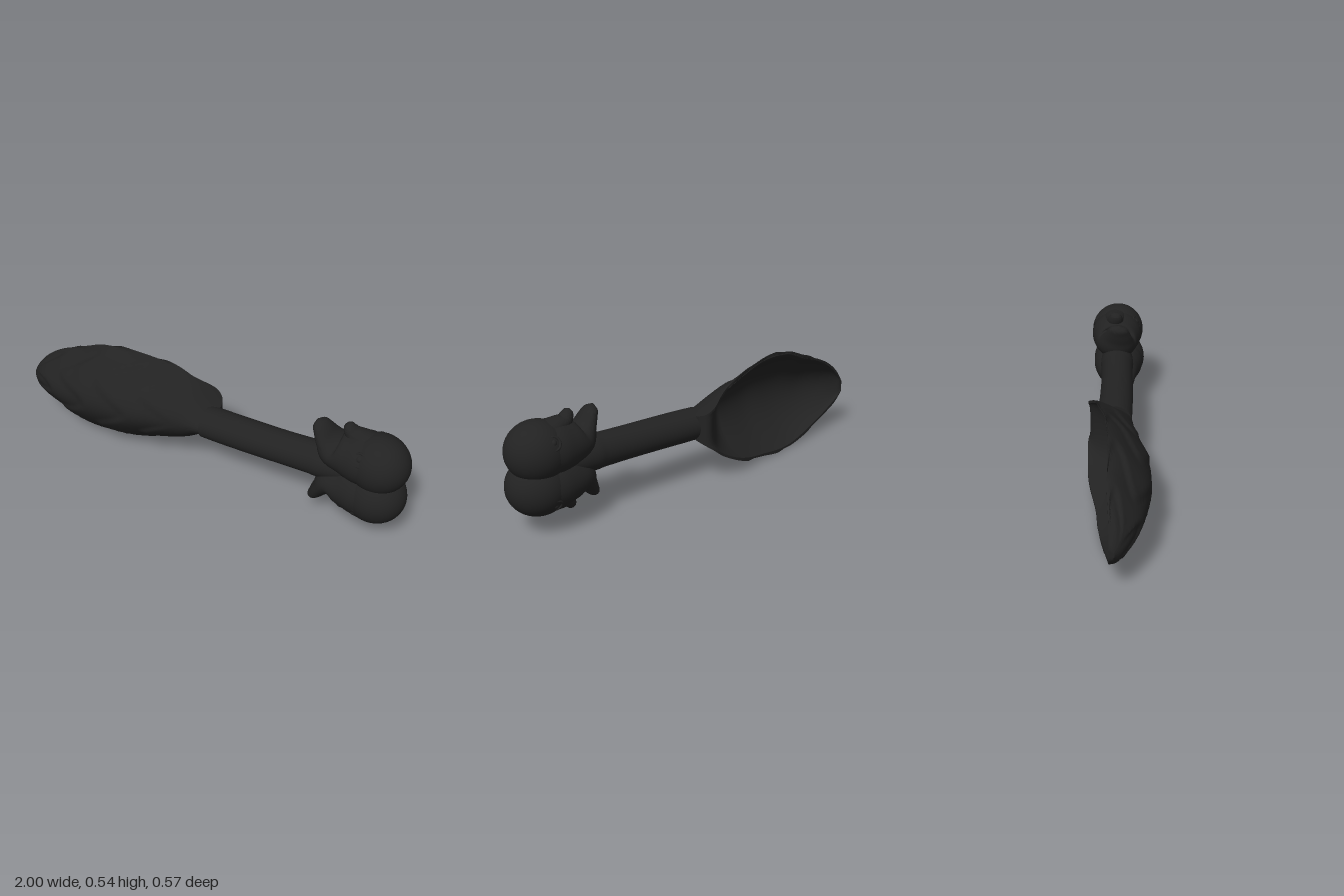
import * as THREE from 'three';
import { toCreasedNormals } from 'three/addons/utils/BufferGeometryUtils.js';

const { smoothstep, lerp } = THREE.MathUtils;
const black = new THREE.MeshStandardMaterial({ color: 0x222222 });
black.name = 'black';

// Skin closed rings of points, cap both ends and face everything outwards.
function loft(rings, crease) {
  const n = rings[0].length, pts = rings.flat(), idx = [];
  for (let i = 0; i < rings.length - 1; i++)
    for (let j = 0; j < n; j++) {
      const a = i * n + j, b = i * n + (j + 1) % n;
      idx.push(a, b, a + n, b, b + n, a + n);
    }
  // caps are zipped across so that concave rings also close cleanly
  const last = (rings.length - 1) * n;
  for (let j = 0; j < n / 2 - 1; j++) {
    const a = j, b = j + 1, c = n - 1 - j, d = n - 2 - j;
    idx.push(a, c, b, b, c, d);
    idx.push(last + a, last + b, last + c, last + b, last + d, last + c);
  }
  let volume = 0;
  const v = new THREE.Vector3();
  for (let i = 0; i < idx.length; i += 3)
    volume += pts[idx[i]].dot(v.crossVectors(pts[idx[i + 1]], pts[idx[i + 2]]));
  if (volume < 0) idx.reverse();
  const g = new THREE.BufferGeometry().setFromPoints(pts);
  g.setIndex(idx);
  return toCreasedNormals(g, crease);
}

// Round limb: each station is [x, y, z, radius in the x-y plane, radius in z].
function limb(stations, steps = 32, sides = 32) {
  const path = new THREE.CatmullRomCurve3(stations.map(s => new THREE.Vector3(s[0], s[1], s[2])));
  const size = new THREE.CatmullRomCurve3(stations.map(s => new THREE.Vector3(s[3], s[4], 0)));
  const rings = [];
  for (let i = 0; i <= steps; i++) {
    const p = path.getPoint(i / steps), r = size.getPoint(i / steps), t = path.getTangent(i / steps);
    const up = new THREE.Vector3(-t.y, t.x, 0).normalize();
    const side = new THREE.Vector3().crossVectors(t, up).normalize();
    rings.push(Array.from({ length: sides }, (_, j) => {
      const a = j / sides * Math.PI * 2;
      return p.clone().addScaledVector(up, Math.cos(a) * Math.max(r.x, 0.002))
        .addScaledVector(side, Math.sin(a) * Math.max(r.y, 0.002));
    }));
  }
  return loft(rings, 1.2);
}

// Spoon bowl: hollow towards the back, feathered on the front.
function bowlGeometry() {
  // x, bottom, top, rim z, front z
  const table = [
    [-1, 0.195, 0.245, 0.185, 0.21], [-0.97, 0.155, 0.295, 0.18, 0.232], [-0.9, 0.11, 0.365, 0.162, 0.26],
    [-0.8, 0.065, 0.427, 0.13, 0.28], [-0.7, 0.028, 0.464, 0.098, 0.285], [-0.6, 0.004, 0.51, 0.063, 0.283],
    [-0.5, 0.003, 0.525, 0.03, 0.27], [-0.4, 0.016, 0.522, 0, 0.25], [-0.3, 0.036, 0.505, -0.042, 0.212],
    [-0.2, 0.07, 0.475, -0.08, 0.168], [-0.1, 0.123, 0.425, -0.102, 0.125], [-0.03, 0.178, 0.378, -0.112, 0.102],
    [0.005, 0.202, 0.353, -0.095, 0.09], [0.025, 0.215, 0.34, -0.06, 0.08],
  ];
  const shape = new THREE.CubicInterpolant(table.map(r => r[0]), table.flatMap(r => r.slice(1)), 4);
  const steps = 110, arc = 48, rings = [];
  for (let i = 0; i <= steps; i++) {
    const x = -1 + 1.025 * i / steps;
    const [bottom, top, rim, front] = shape.evaluate(x);
    const yc = (bottom + top) / 2, hy = (top - bottom) / 2, depth = front - rim;
    const feathered = smoothstep(x, -1, -0.88) * (1 - smoothstep(x, -0.25, -0.08));
    const keeled = smoothstep(x, -1, -0.85) * (1 - smoothstep(x, -0.3, -0.02));
    const tilt = 0.045 * smoothstep(x, -0.9, -0.5) * (1 - smoothstep(x, -0.16, -0.02));
    const hollow = Math.max(0.003, depth - 0.038) * (1 - smoothstep(x, -0.2, -0.005));
    const wall = Math.min(0.014, hy * 0.3);
    const outer = [], inner = [];
    for (let j = 0; j <= arc; j++) {
      const t = j / arc * Math.PI, c = Math.cos(t), s = Math.max(0, Math.sin(t));
      // the section narrows to a keel, more so above, and the top rim leans forward
      const bulge = s ** lerp(1, 1.75 + 0.3 * c, keeled);
      const edge = rim + tilt * (1 + c) / 2 * (1 - s);
      // overlapping pointed feathers
      const u = x / 0.23 + 0.38 * Math.cos(6 * t) + 10;
      const f = u - Math.floor(u);
      const lift = 0.012 * feathered * (Math.min(1, f * 5) * (1 - f) - 0.4);
      outer.push(new THREE.Vector3(x, yc + (hy + lift) * c, edge + depth * bulge + lift * s));
      inner.push(new THREE.Vector3(x, yc + (hy - wall) * c, edge + hollow * bulge));
    }
    rings.push([...outer, ...inner.reverse()]);
  }
  return loft(rings, 0.8);
}

function add(group, name, geometry) {
  const mesh = new THREE.Mesh(geometry, black);
  mesh.name = name;
  group.add(mesh);
  return mesh;
}

// Bird head: skull, upturned open bill, knob and eyes.
function birdHead(name) {
  const head = new THREE.Group();
  head.name = name;
  const skull = add(head, 'skull', new THREE.SphereGeometry(1, 40, 28));
  skull.scale.set(0.145, 0.136, 0.135);
  skull.position.set(0.848, 0.385, -0.148);
  add(head, 'bill', limb([
    [0.87, 0.385, -0.15, 0.12, 0.125], [0.78, 0.386, -0.14, 0.122, 0.13], [0.71, 0.386, -0.128, 0.108, 0.118],
    [0.645, 0.392, -0.112, 0.08, 0.1], [0.608, 0.435, -0.1, 0.047, 0.078], [0.584, 0.475, -0.092, 0.036, 0.06],
    [0.566, 0.503, -0.087, 0.026, 0.044], [0.558, 0.522, -0.085, 0.002, 0.002],
  ]));
  // upper bill, ending in a raised knob
  add(head, 'knob', limb([
    [0.85, 0.465, -0.155, 0.045, 0.07], [0.77, 0.475, -0.145, 0.042, 0.06], [0.715, 0.49, -0.135, 0.036, 0.042],
    [0.697, 0.513, -0.13, 0.028, 0.034], [0.69, 0.53, -0.13, 0.02, 0.024], [0.686, 0.54, -0.13, 0.002, 0.002],
  ]));
  for (const side of [-1, 1]) {
    const eye = add(head, 'eye', new THREE.SphereGeometry(0.018, 16, 12));
    eye.position.set(0.81, 0.447, -0.146 + side * 0.1);
    const lid = add(head, 'eyelid', new THREE.TorusGeometry(0.03, 0.006, 8, 24));
    lid.position.set(0.81, 0.447, -0.146 + side * 0.107);
    lid.rotation.x = -side * 0.5;
  }
  return head;
}

export function createModel() {
  const spoon = new THREE.Group();
  spoon.name = 'spoon';
  add(spoon, 'bowl', bowlGeometry());
  add(spoon, 'handle', limb([
    [-0.005, 0.278, 0.006, 0.076, 0.084], [0.1, 0.281, -0.01, 0.078, 0.083], [0.2, 0.284, -0.026, 0.078, 0.082],
    [0.4, 0.29, -0.062, 0.078, 0.08], [0.54, 0.295, -0.09, 0.08, 0.081], [0.58, 0.296, -0.098, 0.082, 0.085],
    [0.65, 0.298, -0.112, 0.077, 0.082], [0.72, 0.3, -0.125, 0.06, 0.07],
  ]));
  spoon.add(birdHead('upperHead'));

  // lower head: the upper one turned upside down by mirroring
  const lower = birdHead('lowerHead');
  lower.scale.y = -1;
  lower.position.set(0.004, 0.603, 0.008);
  spoon.add(lower);
  return spoon;
}
